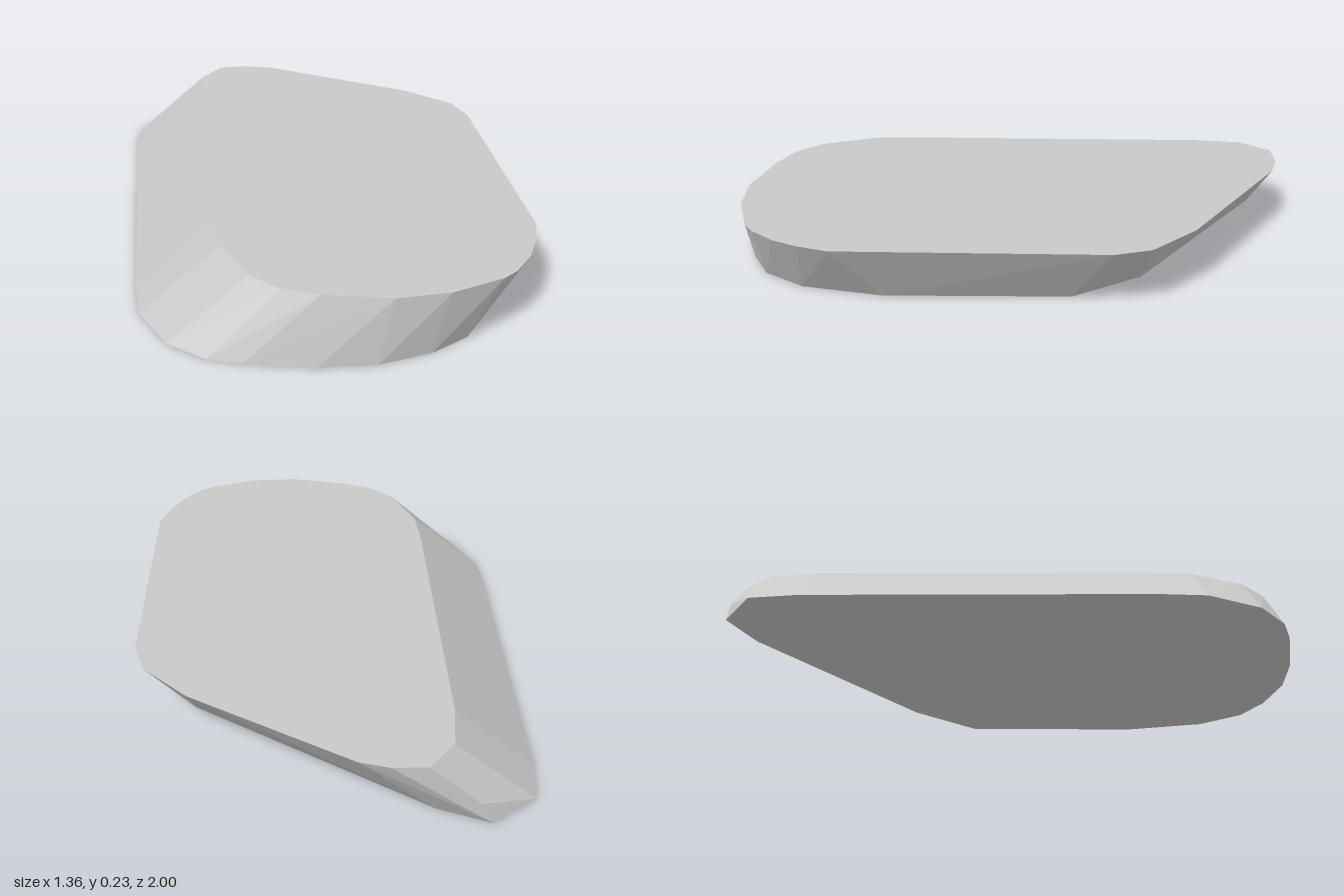
import * as THREE from 'three';
import { ConvexGeometry } from 'three/addons/geometries/ConvexGeometry.js';

// Outlines as [x, z] pairs, running round the slab
const topOutline = [
  [-0.4, -0.72], [-0.38, -0.89], [-0.29, -1], [-0.17, -1], [-0.07, -0.97],
  [0.48, -0.62], [0.64, -0.46], [0.68, -0.33], [0.68, 0.6], [0.645, 0.71],
  [0.6, 0.8], [0.53, 0.885], [0.48, 0.92], [0.3, 0.98], [0.12, 0.99],
  [-0.1, 0.94], [-0.22, 0.89], [-0.31, 0.8], [-0.39, 0.6], [-0.4, 0.42],
];
const bottomOutline = [
  [-0.68, -0.72], [-0.66, -0.89], [-0.5, -1], [-0.33, -0.93],
  [0.37, -0.36], [0.53, -0.2], [0.54, 0.45], [0.48, 0.74], [0.38, 0.89],
  [0.25, 0.96], [0.07, 1], [-0.12, 0.99], [-0.35, 0.94], [-0.46, 0.9],
  [-0.58, 0.8], [-0.67, 0.61], [-0.68, 0.45],
];
const height = 0.234;

export function createModel() {
  const group = new THREE.Group();
  group.name = 'slantedSlab';
  const grey = new THREE.MeshStandardMaterial({ color: 0xc8c8c8 });
  grey.name = 'light grey';

  const ring = (outline, y) => outline.map(([x, z]) => new THREE.Vector3(x, y, z));
  const points = [
    ...ring(bottomOutline, 0),
    ...ring(topOutline, height),
    // Chipped corners just above the base at the back
    new THREE.Vector3(0.47, 0.05, -0.44),
    new THREE.Vector3(-0.46, 0.08, -1),
  ];

  // Faceted slab leaning from base to top
  const slab = new THREE.Mesh(new ConvexGeometry(points), grey);
  slab.name = 'slab';
  group.add(slab);
  return group;
}
